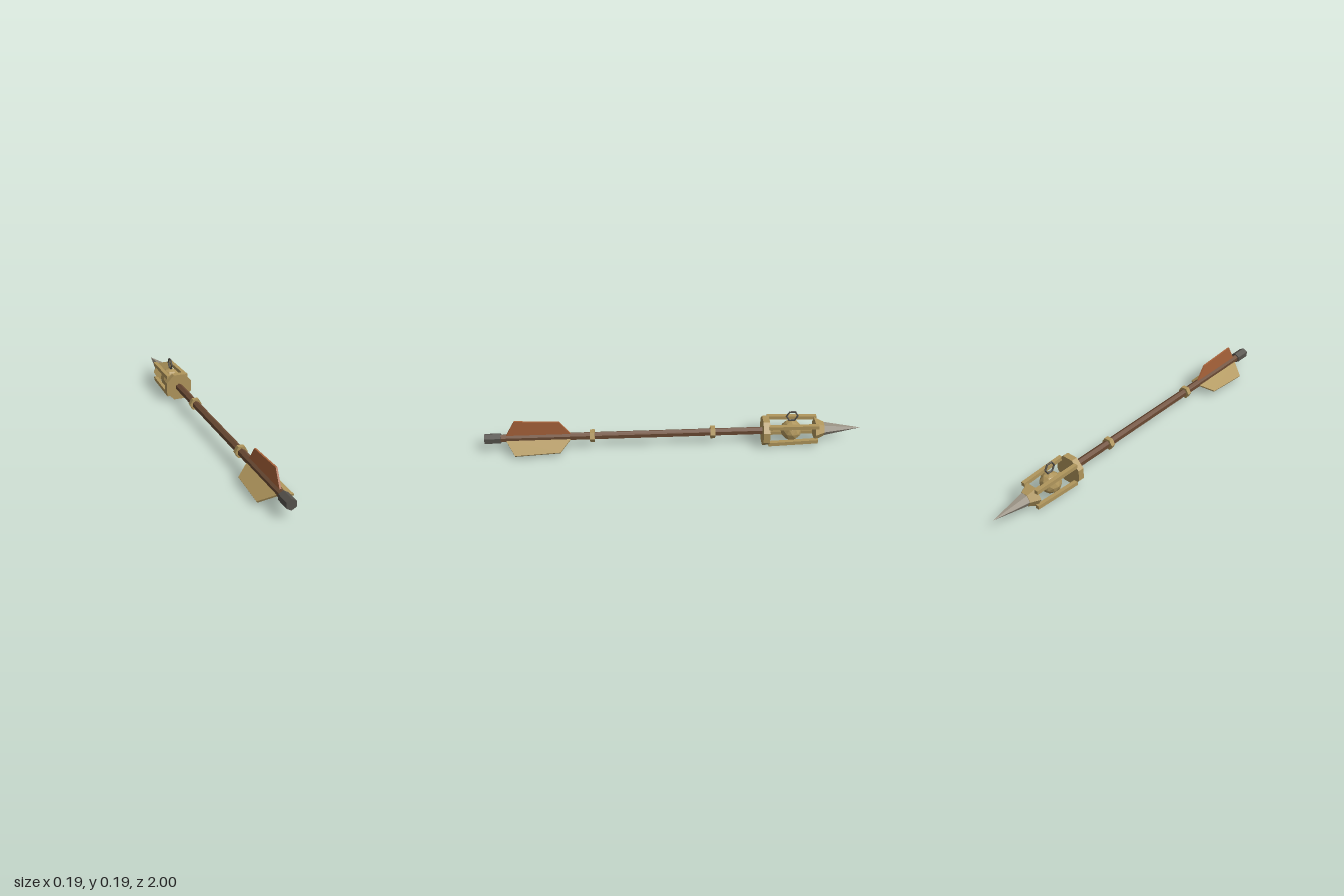
import * as THREE from 'three';

const AXIS_Y = 0.074;

const paint = (name, color) => {
  const m = new THREE.MeshStandardMaterial({ color, flatShading: true });
  m.name = name;
  return m;
};

export function createModel() {
  const wood = paint('brown wood', 0x6b4a33);
  const brass = paint('brass', 0xb0965c);
  const rust = paint('rust feather', 0xa9633a);
  const iron = paint('dark iron', 0x55524c);
  const steel = paint('pale steel', 0x9a9284);

  const model = new THREE.Group();
  model.name = 'arrow';
  const body = new THREE.Group();
  body.name = 'arrowBody';
  body.position.y = AXIS_Y;
  model.add(body);

  const add = (name, geometry, material) => {
    const mesh = new THREE.Mesh(geometry, material);
    mesh.name = name;
    body.add(mesh);
    return mesh;
  };

  // Prism or cone along z, from zBack to zFront (the tip end); a corner points up at turn 0
  const rod = (name, material, rBack, rFront, zBack, zFront, sides = 6, turn = 0) => {
    const g = new THREE.CylinderGeometry(rFront, rBack, zBack - zFront, sides, 1, false, turn);
    g.rotateX(-Math.PI / 2).translate(0, 0, (zBack + zFront) / 2);
    return add(name, g, material);
  };

  // Shaft, nock and binding rings
  rod('shaft', wood, 0.021, 0.021, 0.93, -0.49);
  rod('nock', iron, 0.029, 0.029, 1, 0.915);
  for (const z of [0.433, -0.205])
    rod('bindingRing', brass, 0.034, 0.034, z + 0.0125, z - 0.0125, 6, Math.PI / 6);

  // Cage: base plate, front collar and tip
  rod('cageBase', brass, 0.08, 0.08, -0.47, -0.505, 8, Math.PI / 8);
  rod('tipCollar', brass, 0.063, 0.038, -0.75, -0.8, 6, Math.PI / 6);
  rod('tip', steel, 0.037, 0, -0.795, -1, 6, Math.PI / 6);

  // Four cage bars leaning inward towards the tip
  for (const sx of [-1, 1]) {
    for (const sy of [-1, 1]) {
      const g = new THREE.BoxGeometry(0.021, 0.021, 0.265);
      const p = g.attributes.position;
      for (let i = 0; i < p.count; i++) {
        const offset = p.getZ(i) > 0 ? 0.0515 : 0.0455;
        p.setXY(i, p.getX(i) + sx * offset, p.getY(i) + sy * offset);
      }
      g.translate(0, 0, -0.6325);
      add('cageBar', g, brass);
    }
  }

  // Caged ball and the hanging ring above it
  add('ball', new THREE.IcosahedronGeometry(0.057, 1), brass).position.z = -0.626;
  const ring = new THREE.TorusGeometry(0.03, 0.005, 6, 6).rotateY(Math.PI / 2);
  add('hangingRing', ring, iron).position.set(0, 0.088, -0.626);

  // Three fletchings: profile in length and radius
  const profile = [[0.89, 0.012], [0.838, 0.106], [0.603, 0.094], [0.543, 0.012]];
  const shape = new THREE.Shape(profile.map(([z, r]) => new THREE.Vector2(z, r)));
  const thickness = 0.009;
  const fin = new THREE.ExtrudeGeometry(shape, { depth: thickness, bevelEnabled: false });
  fin.rotateY(-Math.PI / 2).translate(thickness / 2, 0, 0);
  [['topFletching', rust], ['rightFletching', brass], ['leftFletching', brass]].forEach(([name, material], i) => {
    add(name, fin, material).rotation.z = (i * Math.PI * 2) / 3;
  });

  return model;
}
